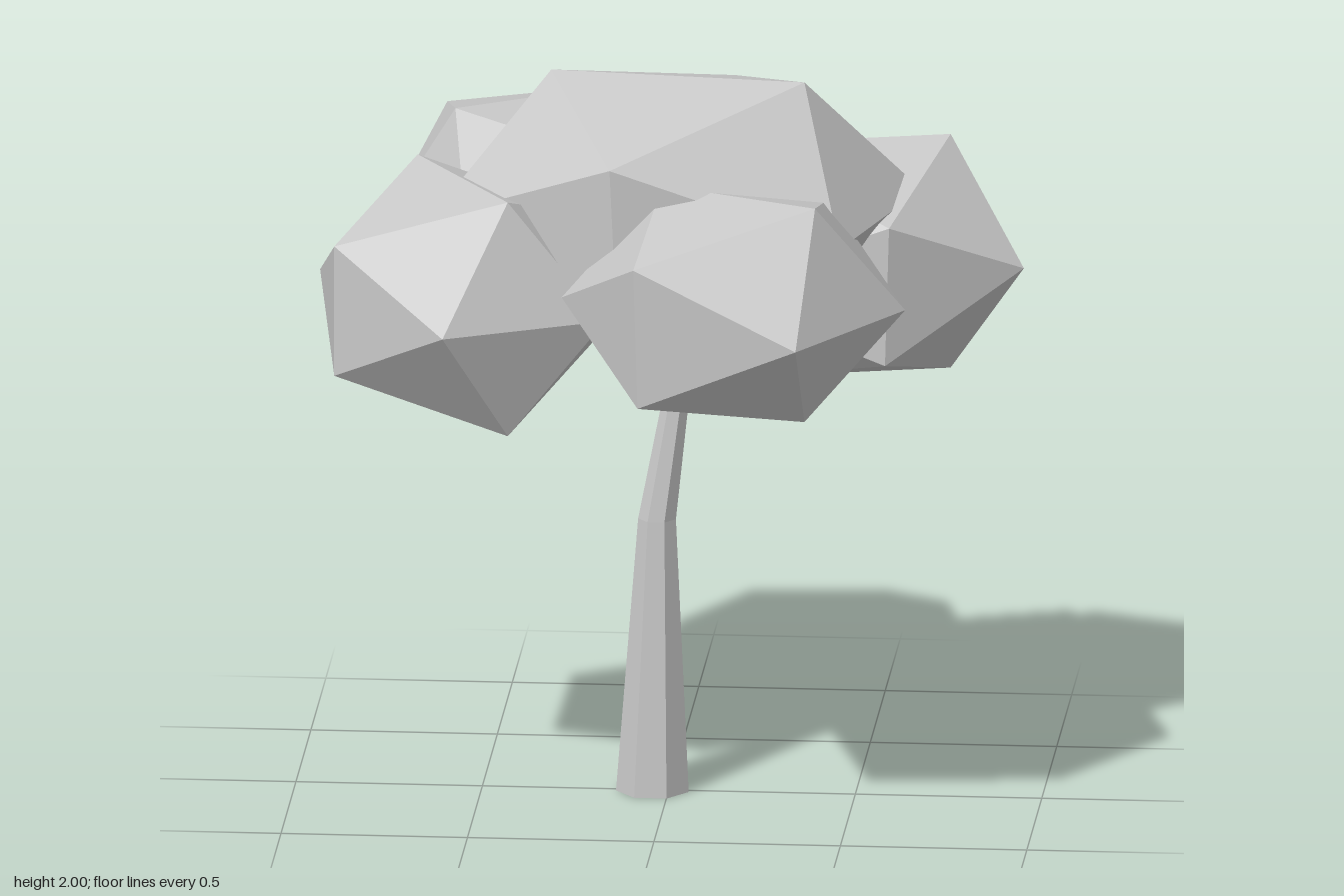
import * as THREE from 'three';
import { ConvexGeometry } from 'three/addons/geometries/ConvexGeometry.js';

// Each foliage clump is a squashed icosahedron: a centre, one tip and the five
// corners around it. The other six corners are mirrored through the centre.
const CLUMPS = {
  crownFoliage: {
    centre: [0.02, 1.635, 0.01],
    corners: [[0.37, 2.0, 0.08], [-0.32, 1.98, -0.06], [-0.12, 1.86, 0.49],
      [0.49, 1.63, 0.40], [0.665, 1.64, -0.16], [0.14, 1.86, -0.46]],
  },
  frontFoliage: {
    centre: [0.21, 1.49, 0.46],
    corners: [[0.41, 1.48, 0.88], [0.44, 1.80, 0.60], [-0.03, 1.68, 0.82],
      [-0.02, 1.29, 0.80], [0.41, 1.20, 0.58], [0.67, 1.48, 0.45]],
  },
  rightFoliage: {
    centre: [-0.54, 1.41, 0.16],
    corners: [[-0.56, 1.41, 0.59], [-0.40, 1.74, 0.40], [-0.87, 1.59, 0.34],
      [-0.87, 1.23, 0.34], [-0.40, 1.09, 0.40], [-0.14, 1.41, 0.38]],
  },
  leftFoliage: {
    centre: [0.45, 1.425, -0.25],
    corners: [[0.94, 1.43, -0.15], [0.73, 1.75, -0.32], [0.81, 1.43, -0.61],
      [0.73, 1.10, -0.32], [0.59, 1.23, 0.13], [0.60, 1.61, 0.12]],
  },
  backFoliage: {
    centre: [-0.37, 1.5, -0.39],
    corners: [[-0.21, 1.5, -0.88], [-0.16, 1.80, -0.56], [-0.65, 1.70, -0.70],
      [-0.65, 1.30, -0.68], [-0.15, 1.18, -0.56], [0.04, 1.5, -0.48]],
  },
};

function clumpGeometry({ centre, corners }) {
  const c = new THREE.Vector3(...centre);
  const points = corners.map((p) => new THREE.Vector3(...p));
  const mirrored = points.map((p) => c.clone().multiplyScalar(2).sub(p));
  return new ConvexGeometry([...points, ...mirrored]);
}

// Seven-sided trunk section, tapered and sheared between two levels
function trunkSection(low, high) {
  const h = high.y - low.y;
  const g = new THREE.CylinderGeometry(high.r, low.r, h, 7, 1, low.y > 0, Math.PI);
  const pos = g.attributes.position;
  for (let i = 0; i < pos.count; i++) {
    const t = pos.getY(i) / h + 0.5;
    pos.setX(i, pos.getX(i) + THREE.MathUtils.lerp(low.x, high.x, t));
    pos.setZ(i, pos.getZ(i) + THREE.MathUtils.lerp(low.z, high.z, t));
    pos.setY(i, THREE.MathUtils.lerp(low.y, high.y, t));
  }
  const flat = g.toNonIndexed();
  flat.computeVertexNormals();
  return flat;
}

export function createModel() {
  const tree = new THREE.Group();
  tree.name = 'tree';

  const grey = new THREE.MeshStandardMaterial({ color: 0xc8c8c8 });
  grey.name = 'light grey';

  // Leaning trunk, its upper end hidden inside the foliage
  const levels = [
    { y: 0, x: -0.043, z: -0.007, r: 0.1 },
    { y: 0.76, x: -0.03, z: 0.01, r: 0.052 },
    { y: 1.4, x: 0.065, z: -0.01, r: 0.022 },
  ];
  const trunk = new THREE.Group();
  trunk.name = 'trunk';
  ['lowerTrunk', 'upperTrunk'].forEach((name, i) => {
    const mesh = new THREE.Mesh(trunkSection(levels[i], levels[i + 1]), grey);
    mesh.name = name;
    trunk.add(mesh);
  });
  tree.add(trunk);

  // Foliage clumps
  for (const [name, clump] of Object.entries(CLUMPS)) {
    const mesh = new THREE.Mesh(clumpGeometry(clump), grey);
    mesh.name = name;
    tree.add(mesh);
  }
  return tree;
}
